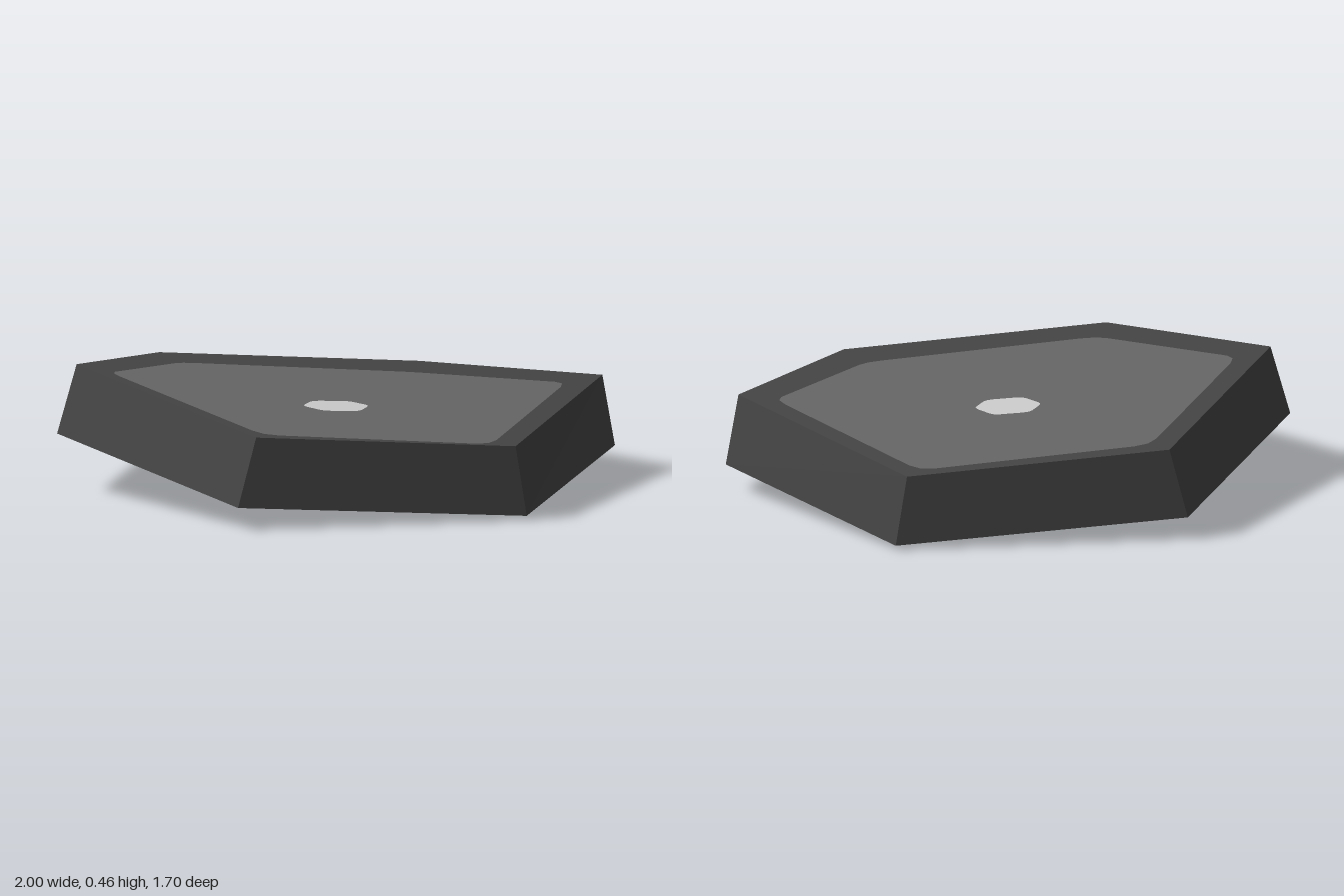
import * as THREE from 'three';

// Corner loops run right, front right, front left, left, back left, back right.
// Each loop is mirrored front to back from four profile points [x, y] and a half depth z.
function loop(right, frontRight, frontLeft, left, z) {
  const v = ([x, y], d) => new THREE.Vector3(x, y, d);
  return [v(right, 0), v(frontRight, z), v(frontLeft, z), v(left, 0), v(frontLeft, -z), v(frontRight, -z)];
}

// Three points per corner, cut back by the fraction t of each edge
function rounded(corners, t) {
  return corners.flatMap((c, i) => {
    const p = c.clone().lerp(corners[(i + 5) % 6], t);
    const n = c.clone().lerp(corners[(i + 1) % 6], t);
    const m = p.clone().add(n).multiplyScalar(0.25).addScaledVector(c, 0.5);
    return [p, m, n];
  });
}

// Band of faces between two loops; an optional shared normal gives smooth shading
function band(a, b, normal) {
  const pos = [];
  const tri = (p, q, r) => {
    const area = q.clone().sub(p).cross(r.clone().sub(p)).length();
    if (area > 1e-7) [p, q, r].forEach((v) => pos.push(v.x, v.y, v.z));
  };
  a.forEach((p, i) => {
    const j = (i + 1) % a.length;
    tri(p, b[i], a[j]);
    tri(b[i], b[j], a[j]);
  });
  const geo = new THREE.BufferGeometry();
  geo.setAttribute('position', new THREE.Float32BufferAttribute(pos, 3));
  geo.computeVertexNormals();
  if (normal) {
    const n = geo.attributes.normal;
    for (let i = 0; i < n.count; i++) n.setXYZ(i, normal.x, normal.y, normal.z);
  }
  return geo;
}

export function createModel() {
  const group = new THREE.Group();
  const material = (name, color) => {
    const m = new THREE.MeshStandardMaterial({ color });
    m.name = name;
    return m;
  };
  const dark = material('dark grey rim', 0x444444);
  const mid = material('mid grey panel', 0x666666);
  const light = material('light grey centre', 0xcccccc);
  const add = (name, geo, mat) => {
    const mesh = new THREE.Mesh(geo, mat);
    mesh.name = name;
    group.add(mesh);
  };

  // Dished upper face
  const topOuter = loop([0.955, 0.355], [0.47, 0.27], [-0.46, 0.335], [-0.93, 0.462], 0.85);
  const topInner = loop([0.825, 0.332], [0.41, 0.256], [-0.41, 0.32], [-0.81, 0.428], 0.72);
  const topHub = loop([0.12, 0.276], [0.065, 0.276], [-0.065, 0.282], [-0.12, 0.284], 0.1);
  // Matching lower face
  const lowOuter = loop([1, 0.102], [0.51, 0.02], [-0.525, 0.086], [-1, 0.217], 0.85);
  const lowInner = loop([0.865, 0.077], [0.445, 0.002], [-0.46, 0.07], [-0.875, 0.181], 0.72);
  const lowHub = loop([0.11, 0.026], [0.055, 0.027], [-0.085, 0.033], [-0.14, 0.034], 0.1);

  // Flat side walls
  add('sideWalls', band(lowOuter, topOuter), dark);

  // Rim, panel and hub on each face
  const up = new THREE.Vector3(0.05, 1, 0).normalize();
  const faces = [
    ['upper', topOuter, topInner, topHub, up],
    ['lower', lowOuter, lowInner, lowHub, up.clone().negate()],
  ];
  for (const [side, outer, inner, hub, normal] of faces) {
    const rings = [rounded(outer, 0), rounded(inner, 0.07), rounded(hub, 0.2)];
    const centre = hub.reduce((s, p) => s.add(p), new THREE.Vector3()).divideScalar(6);
    rings.push(rings[0].map(() => centre));
    [['Rim', dark], ['Panel', mid], ['Hub', light]].forEach(([part, mat], i) => {
      const [a, b] = side === 'upper' ? [rings[i], rings[i + 1]] : [rings[i + 1], rings[i]];
      add(side + part, band(a, b, normal), mat);
    });
  }
  return group;
}
